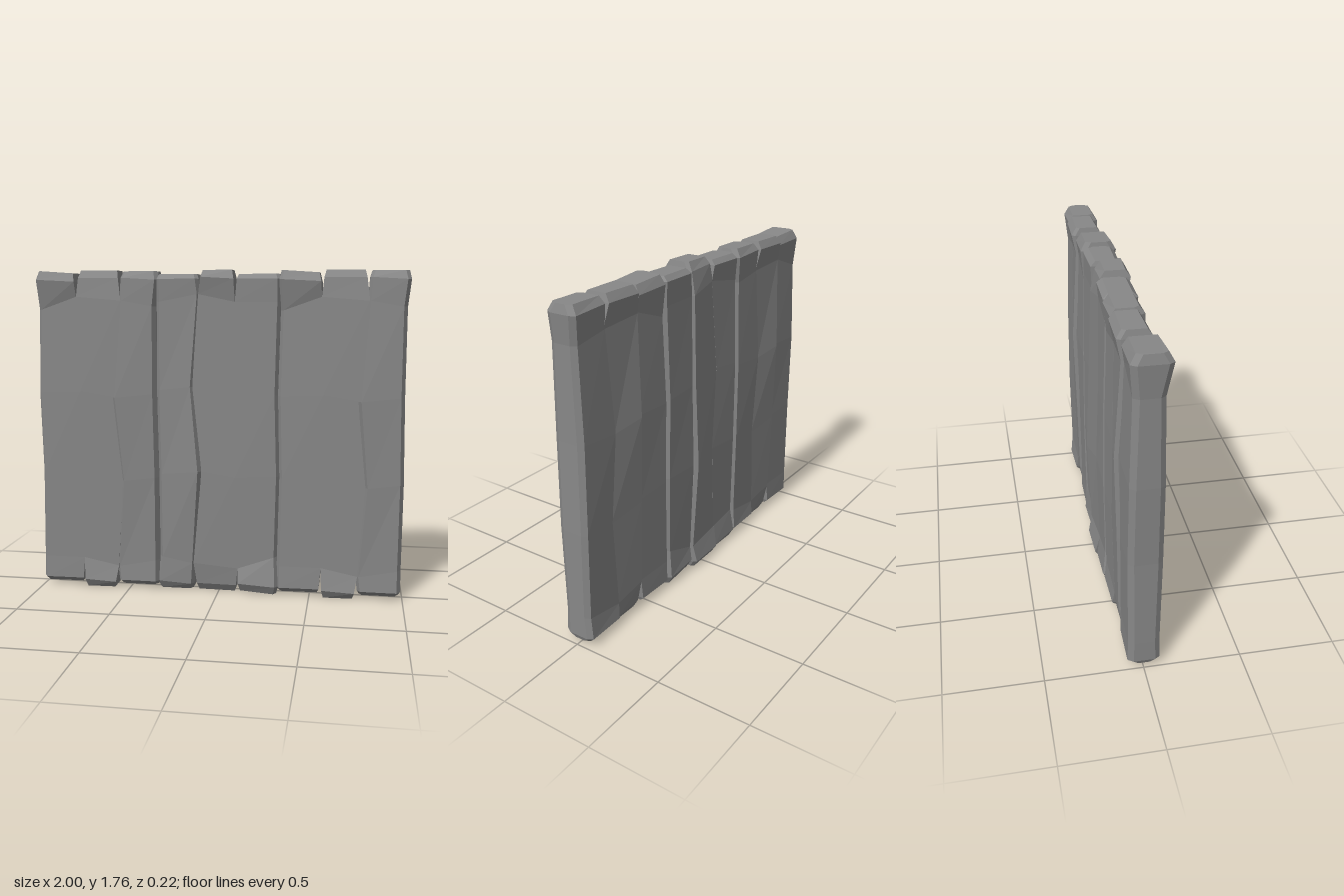
import * as THREE from 'three';

const material = new THREE.MeshStandardMaterial({ color: 0x888888, flatShading: true });

// Each ring: [yLeft, yRight, xLeft, xRight, zFrontLeft, zFrontRight, zBackLeft, zBackRight], bottom to top.
// Chamfers (x widths): front left, front right, back right, back left; ends: [bottom y, top y left, top y right].
const planks = {
  leftPlank: {
    chamfer: [0.016, 0, 0, 0.018],
    ends: [0.025, 1.757, 1.745],
    rings: [
      [0.05, 0.05, -0.338, -0.108, 0.085, 0.08, -0.08, -0.075],
      [0.17, 0.17, -0.338, -0.098, 0.08, 0.078, -0.078, -0.072],
      [0.66, 0.65, -0.328, -0.105, 0.085, 0.08, -0.085, -0.08],
      [1.10, 1.11, -0.340, -0.10, 0.08, 0.085, -0.085, -0.085],
      [1.55, 1.62, -0.330, -0.116, 0.07, 0.072, -0.075, -0.072],
      [1.71, 1.70, -0.338, -0.120, 0.10, 0.095, -0.09, -0.085]
    ]
  },
  middlePlank: {
    chamfer: [0, 0, 0, 0.012],
    ends: [0.004, 1.76, 1.76],
    rings: [
      [0.05, 0.04, -0.093, 0.083, 0.10, 0.095, -0.06, -0.06],
      [0.17, 0.13, -0.098, 0.098, 0.078, 0.075, -0.082, -0.069],
      [0.65, 0.62, -0.105, 0.132, 0.08, 0.08, -0.095, -0.079],
      [1.11, 1.08, -0.10, 0.09, 0.085, 0.082, -0.11, -0.084],
      [1.62, 1.60, -0.116, 0.130, 0.072, 0.07, -0.085, -0.074],
      [1.72, 1.72, -0.106, 0.114, 0.06, 0.055, -0.105, -0.10]
    ]
  },
  rightPlank: {
    chamfer: [0.016, 0.02, 0.018, 0],
    ends: [0.025, 1.755, 1.755],
    rings: [
      [0.05, 0.05, 0.098, 0.328, 0.085, 0.085, -0.08, -0.085],
      [0.13, 0.17, 0.088, 0.328, 0.08, 0.078, -0.07, -0.075],
      [0.62, 0.64, 0.125, 0.330, 0.097, 0.085, -0.08, -0.085],
      [1.08, 1.10, 0.083, 0.322, 0.11, 0.085, -0.085, -0.085],
      [1.60, 1.57, 0.12, 0.322, 0.08, 0.075, -0.075, -0.075],
      [1.72, 1.71, 0.128, 0.338, 0.075, 0.075, -0.09, -0.09]
    ]
  }
};

// Chamfered rectangular cross-section, counter-clockwise seen from above
function section([yl, yr, xl, xr, fl, fr, bl, br], [a, b, c, d]) {
  const k = 1.6; // chamfer depth relative to its width
  return [
    [xl, yl, fl - a * k], [xl + a, yl, fl],
    [xr - b, yr, fr], [xr, yr, fr - b * k],
    [xr, yr, br + c * k], [xr - c, yr, br],
    [xl + d, yl, bl], [xl, yl, bl + d * k]
  ];
}

// Bevelled end ring: the neighbouring ring shrunk and moved to the end
function endRing([, , xl, xr, fl, fr, bl, br], yl, yr) {
  const i = 0.01, j = 0.026;
  return [yl, yr, xl + i, xr - i, fl - j, fr - j, bl + j, br + j];
}

function plankGeometry({ chamfer, ends, rings }) {
  const all = [
    endRing(rings[0], ends[0], ends[0]),
    ...rings,
    endRing(rings[rings.length - 1], ends[1], ends[2])
  ];
  const loops = all.map(r => section(r, chamfer));
  const pos = [];
  const tri = (p, q, r) => pos.push(...p, ...q, ...r);
  for (let r = 0; r < loops.length - 1; r++) {
    const lo = loops[r], hi = loops[r + 1];
    for (let i = 0; i < 8; i++) {
      const n = (i + 1) % 8;
      tri(lo[i], lo[n], hi[n]);
      tri(lo[i], hi[n], hi[i]);
    }
  }
  // End caps
  const bottom = loops[0], top = loops[loops.length - 1];
  for (let i = 1; i < 7; i++) {
    tri(top[0], top[i], top[i + 1]);
    tri(bottom[0], bottom[i + 1], bottom[i]);
  }
  const g = new THREE.BufferGeometry();
  g.setAttribute('position', new THREE.Float32BufferAttribute(pos, 3));
  g.computeVertexNormals();
  return g;
}

// A panel of three planks, flush along their length and notched at the ends
function makePanel(name, x) {
  const panel = new THREE.Group();
  panel.name = name;
  for (const [plankName, spec] of Object.entries(planks)) {
    const mesh = new THREE.Mesh(plankGeometry(spec), material);
    mesh.name = plankName;
    panel.add(mesh);
  }
  panel.position.x = x;
  return panel;
}

export function createModel() {
  const wall = new THREE.Group();
  wall.name = 'plankWall';
  // The centre panel is the same panel turned upside down
  const centre = makePanel('centrePanel', -0.008);
  centre.rotation.z = Math.PI;
  centre.position.y = 1.764;
  wall.add(makePanel('rightPanel', -0.66), centre, makePanel('leftPanel', 0.66));
  return wall;
}
